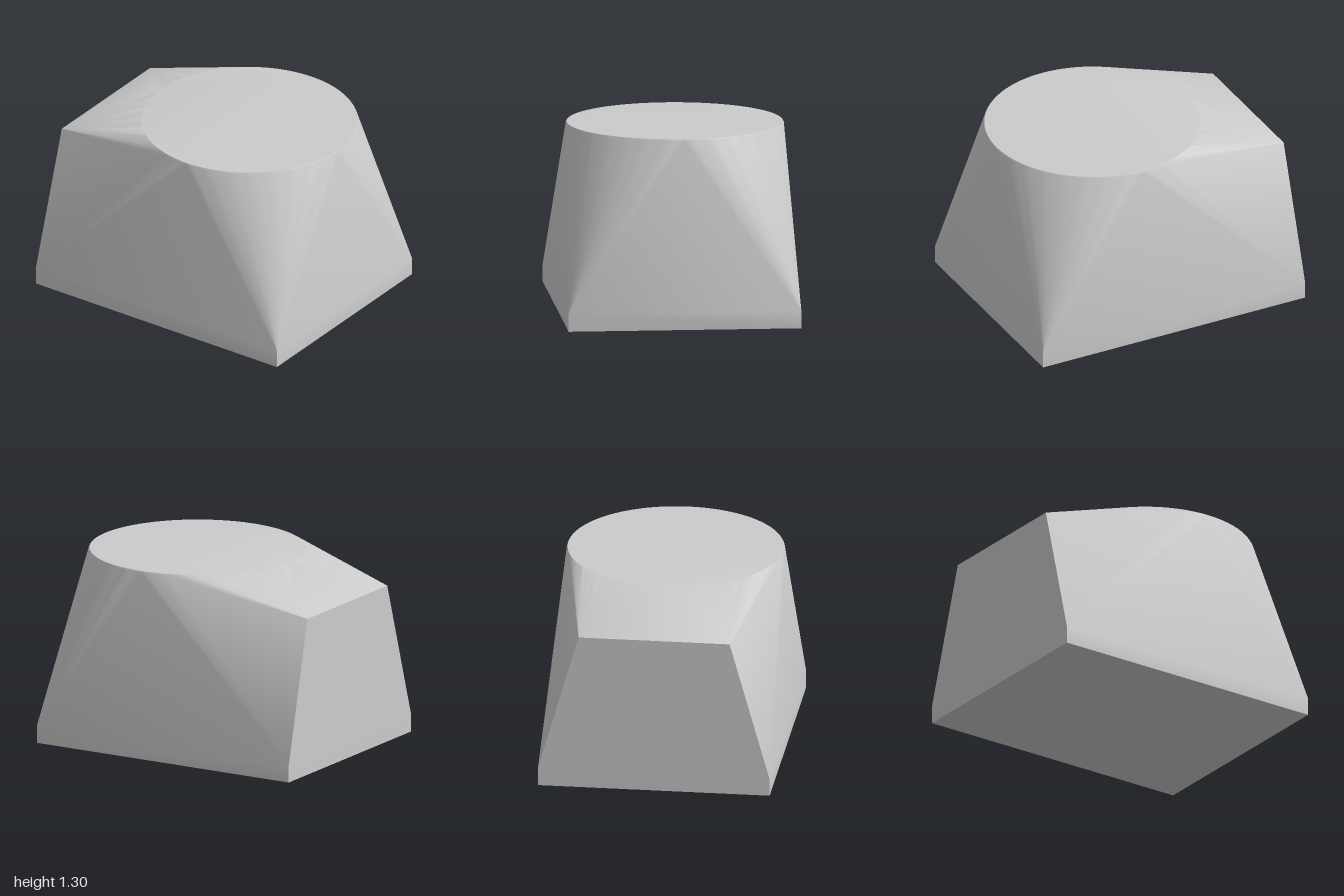
import * as THREE from 'three';
import { ConvexGeometry } from 'three/addons/geometries/ConvexGeometry.js';
import { toCreasedNormals } from 'three/addons/utils/BufferGeometryUtils.js';

// Points of a horizontal circle around the top disc's axis
function ring(radius, y, count = 96) {
  return Array.from({ length: count }, (_, i) => {
    const a = (i / count) * Math.PI * 2;
    return new THREE.Vector3(0.21 + radius * Math.cos(a), y, radius * Math.sin(a));
  });
}

export function createModel() {
  const group = new THREE.Group();
  group.name = 'taperedBlock';
  const points = [];

  for (const z of [-1, 1]) {
    // Rectangular base slab
    for (const x of [-1, 1]) {
      for (const y of [0, 0.12]) points.push(new THREE.Vector3(x, y, z * 0.79));
    }
    // Straight upper edge of the sloped end
    points.push(new THREE.Vector3(-0.98, 1.08, z * 0.515));
  }

  // Round flat top with a fine softened rim
  points.push(...ring(0.738, 1.29), ...ring(0.732, 1.3));

  // Skin stretched over base, end edge and disc
  const geometry = toCreasedNormals(new ConvexGeometry(points), Math.PI / 6);
  const body = new THREE.Mesh(geometry, new THREE.MeshStandardMaterial({ color: 0xcccccc }));
  body.name = 'body';
  group.add(body);
  return group;
}
